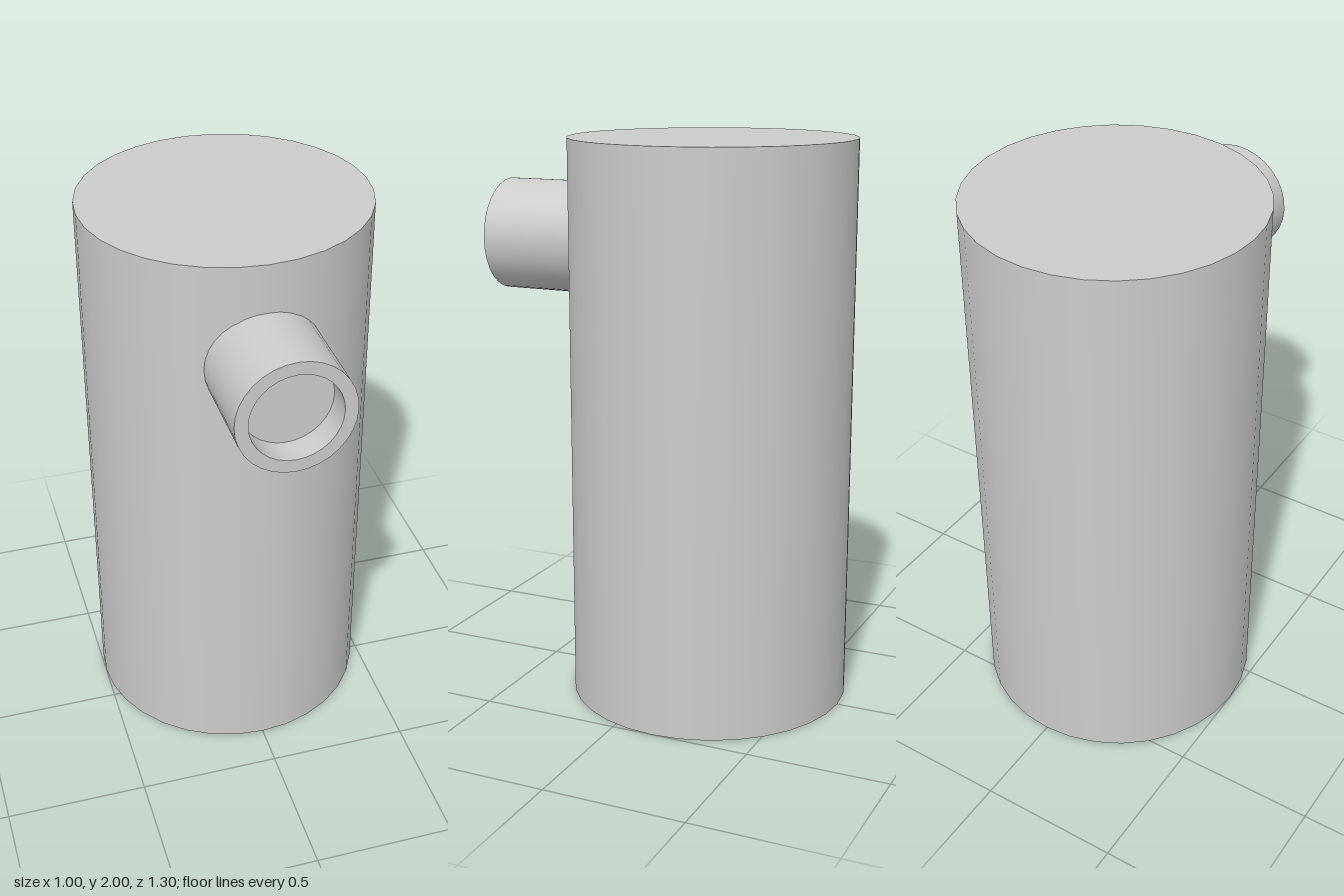
import * as THREE from 'three';
import { toCreasedNormals } from 'three/addons/utils/BufferGeometryUtils.js';

export function createModel() {
  const group = new THREE.Group();
  const material = new THREE.MeshStandardMaterial({ color: 0xcccccc });

  // Tall upright cylinder, set back to leave room for the spout
  const body = new THREE.Mesh(new THREE.CylinderGeometry(0.5, 0.5, 2, 32), material);
  body.name = 'body';
  body.position.set(0, 1, -0.15);
  group.add(body);

  // Short pipe: outer wall from inside the body, rim, then a shallow recess with a flat floor
  const profile = [[0.2, 0], [0.2, 0.45], [0.155, 0.45], [0.155, 0.35], [0, 0.35]]
    .map(([r, y]) => new THREE.Vector2(r, y));
  const spout = new THREE.Mesh(toCreasedNormals(new THREE.LatheGeometry(profile, 32), Math.PI / 6), material);
  spout.name = 'spout';
  spout.rotation.x = Math.PI / 2;
  spout.position.set(0, 1.63, 0.2);
  group.add(spout);

  return group;
}
